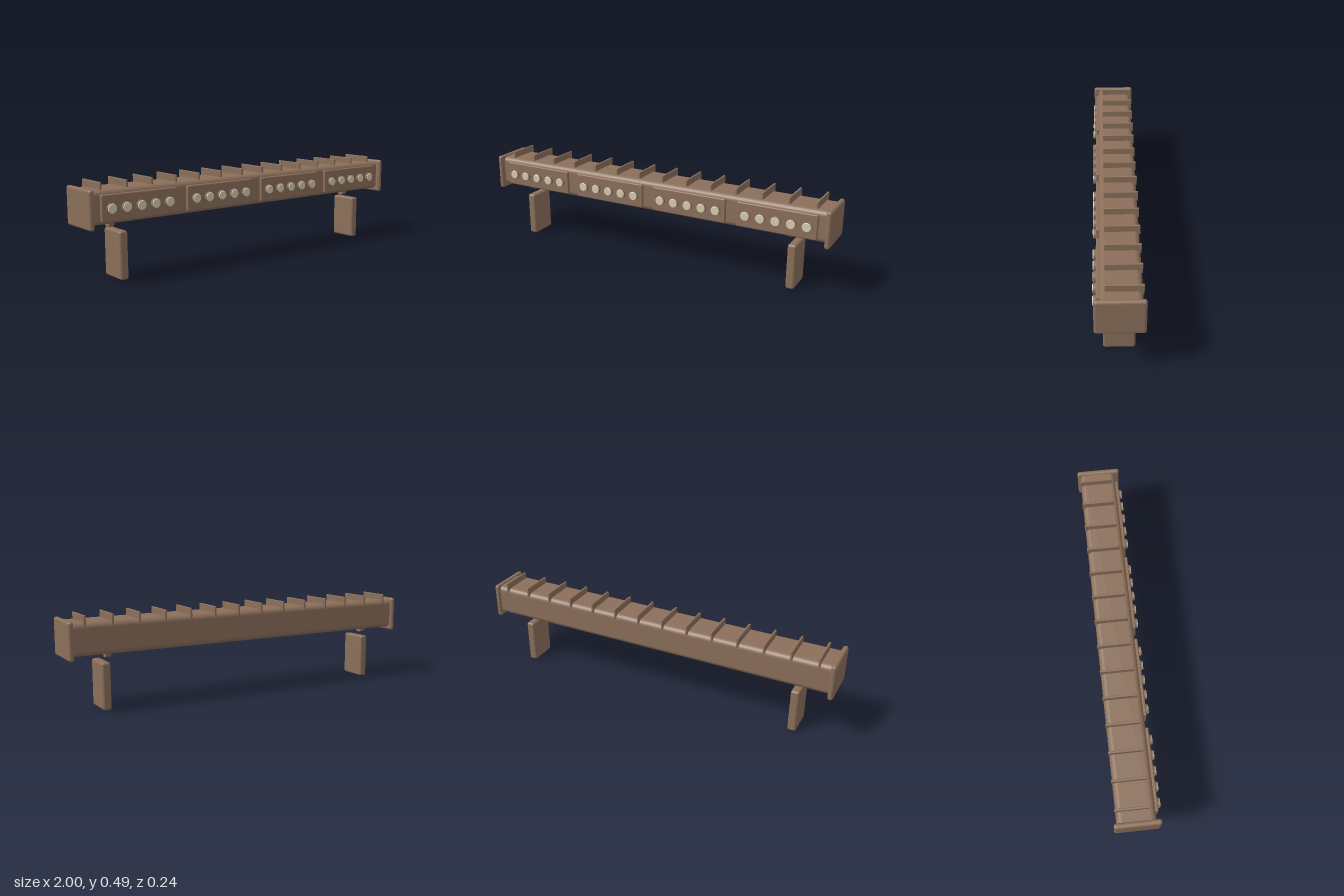
import * as THREE from 'three';
import { RoundedBoxGeometry } from 'three/addons/geometries/RoundedBoxGeometry.js';

export function createModel() {
  const model = new THREE.Group();
  model.name = 'lightBar';
  const housing = new THREE.MeshStandardMaterial({ name: 'brown housing', color: 0x8b6f5a });
  const lens = new THREE.MeshStandardMaterial({ name: 'cream lens', color: 0xd6ccb0 });

  const add = (name, geometry, material, x, y, z) => {
    const mesh = new THREE.Mesh(geometry, material);
    mesh.name = name;
    mesh.position.set(x, y, z);
    model.add(mesh);
    return mesh;
  };
  // Rounded box given by its x centre and width, and its y and z limits
  const block = (name, x, w, y0, y1, z0, z1, r) =>
    add(name, new RoundedBoxGeometry(w, y1 - y0, z1 - z0, 3, r), housing, x, (y0 + y1) / 2, (z0 + z1) / 2);

  // Long housing: a rounded section swept along x
  const [y0, y1, z0, z1, r] = [0.285, 0.45, -0.105, 0.09, 0.028];
  const section = new THREE.Shape();
  section.moveTo(-z1 + r, y0);
  section.lineTo(-z0 - r, y0);
  section.absarc(-z0 - r, y0 + r, r, -Math.PI / 2, 0);
  section.absarc(-z0 - r, y1 - r, r, 0, Math.PI / 2);
  section.absarc(-z1 + r, y1 - r, r, Math.PI / 2, Math.PI);
  section.absarc(-z1 + r, y0 + r, r, Math.PI, Math.PI * 1.5);
  const bodyGeometry = new THREE.ExtrudeGeometry(section, { depth: 1.95, bevelEnabled: false, curveSegments: 6 });
  bodyGeometry.translate(0, 0, -0.975).rotateY(Math.PI / 2);
  add('body', bodyGeometry, housing, 0, 0, 0);

  // End caps, feet and their pivot bolts
  for (const side of [-1, 1]) {
    block('endCap', side * 0.986, 0.028, 0.267, 0.46, -0.12, 0.116, 0.013);
    block('foot', side * 0.803, 0.046, 0, 0.241, -0.08, 0.076, 0.012);
    const bolt = new THREE.CylinderGeometry(0.026, 0.026, 0.028, 12).rotateZ(Math.PI / 2);
    add('pivotBolt', bolt, housing, side * 0.803 - 0.033, 0.28, -0.002);
  }

  // Cooling fins along the top
  for (let i = 0; i < 14; i++) {
    block('coolingFin', (i - 6.5) * 0.1406, 0.011, 0.43, 0.485, -0.11, 0.066, 0.003);
  }

  // Four lamp panels with five lamps each
  const rimGeometry = new THREE.CylinderGeometry(0.026, 0.026, 0.02, 20).rotateX(Math.PI / 2);
  const lensGeometry = new THREE.CylinderGeometry(0.021, 0.024, 0.004, 20).rotateX(Math.PI / 2);
  for (let p = 0; p < 4; p++) {
    const px = (p - 1.5) * 0.482;
    block('lampPanel', px, 0.42, 0.3, 0.43, 0.075, 0.105, 0.006);
    for (let i = -2; i <= 2; i++) {
      add('lampRim', rimGeometry, housing, px + i * 0.08, 0.364, 0.107);
      add('lampLens', lensGeometry, lens, px + i * 0.08, 0.364, 0.119);
    }
  }
  return model;
}
